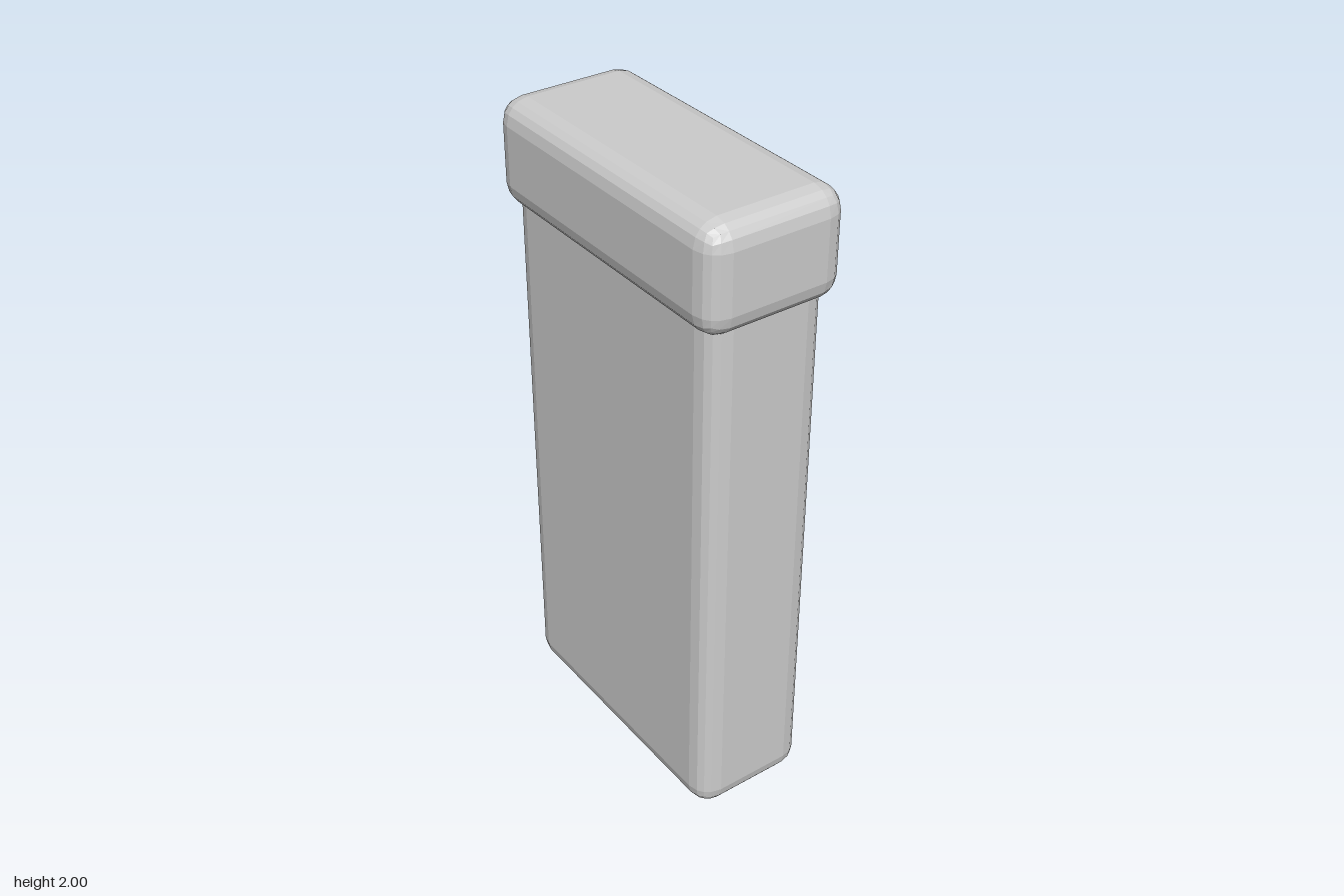
import * as THREE from 'three';
import { RoundedBoxGeometry } from 'three/addons/geometries/RoundedBoxGeometry.js';

const BACK = -0.19; // z of the flat back face
const RADIUS = 0.07;

// Recesses in the back: half width, bottom, top, depth
const recesses = [
  { name: 'upperRecess', half: 0.39, y0: 1.07, y1: 1.61, depth: 0.055 },
  { name: 'lowerRecess', half: 0.355, y0: 0.465, y1: 0.865, depth: 0.03 },
];

function roundedRect(path, half, y0, y1, r) {
  path.moveTo(-half + r, y0);
  path.lineTo(half - r, y0);
  path.quadraticCurveTo(half, y0, half, y0 + r);
  path.lineTo(half, y1 - r);
  path.quadraticCurveTo(half, y1, half - r, y1);
  path.lineTo(-half + r, y1);
  path.quadraticCurveTo(-half, y1, -half, y1 - r);
  path.lineTo(-half, y0 + r);
  path.quadraticCurveTo(-half, y0, -half + r, y0);
  return path;
}

// Drops the flat back panel of a rounded box so a pierced one can replace it
function withoutBackPanel(geometry) {
  const p = geometry.getAttribute('position');
  const kept = [];
  for (let i = 0; i < p.count; i += 3) {
    const flat = [0, 1, 2].every((k) => Math.abs(p.getZ(i + k) - BACK) < 1e-4);
    if (flat) continue;
    for (let k = 0; k < 3; k++) kept.push(p.getX(i + k), p.getY(i + k), p.getZ(i + k));
  }
  const open = new THREE.BufferGeometry();
  open.setAttribute('position', new THREE.Float32BufferAttribute(kept, 3));
  open.computeVertexNormals();
  return open;
}

export function createModel() {
  const group = new THREE.Group();
  const grey = new THREE.MeshStandardMaterial({ color: 0xcccccc, flatShading: true });
  grey.name = 'plain grey';

  const add = (name, geometry, x = 0, y = 0, z = 0) => {
    const mesh = new THREE.Mesh(geometry, grey);
    mesh.name = name;
    mesh.position.set(x, y, z);
    group.add(mesh);
  };

  // Body shell, its top hidden inside the cap
  const height = 1.82;
  const shell = new RoundedBoxGeometry(0.93, height, 0.38, 2, RADIUS);
  add('body', withoutBackPanel(shell), 0, height / 2, 0);

  // Back panel pierced by the two recesses
  const panel = new THREE.Shape();
  const w = 0.465 - RADIUS;
  panel.moveTo(-w, RADIUS);
  panel.lineTo(w, RADIUS);
  panel.lineTo(w, height - RADIUS);
  panel.lineTo(-w, height - RADIUS);
  panel.closePath();
  for (const r of recesses) {
    panel.holes.push(roundedRect(new THREE.Path(), r.half, r.y0, r.y1, 0.015));
  }
  const thickness = 0.06;
  add('backPanel', new THREE.ExtrudeGeometry(panel, {
    depth: thickness, bevelEnabled: false, curveSegments: 4,
  }), 0, 0, BACK);

  // Recess floors
  for (const r of recesses) {
    const floor = new THREE.BoxGeometry(r.half * 2, r.y1 - r.y0, 0.02);
    add(r.name + 'Floor', floor, 0, (r.y0 + r.y1) / 2, BACK + r.depth + 0.01);
  }

  // Overhanging cap
  add('cap', new RoundedBoxGeometry(0.99, 0.32, 0.44, 2, RADIUS), 0, 1.84, 0);

  return group;
}
